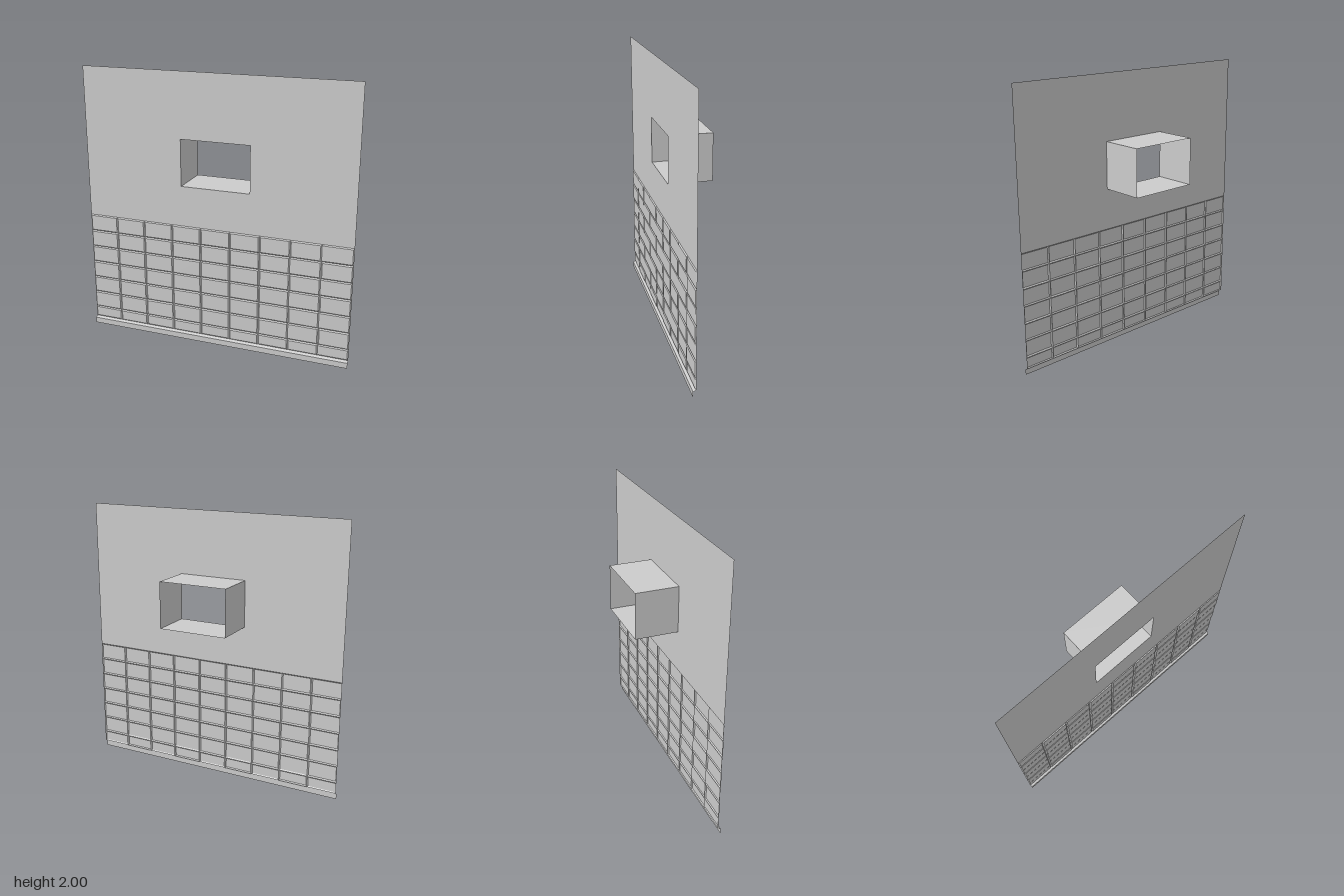
import * as THREE from 'three';

const W = 0.994;                // half width of the wall
const ZW = 0.146;               // wall plane
const ZBACK = -0.167;           // back end of the window tunnel
const WIN = { x: 0.255, y0: 1.19, y1: 1.53 };
const TILE_TOP = 0.894, TILE_BOTTOM = 0.053, ROW = 0.126, COLS = 9;

const material = new THREE.MeshStandardMaterial({
  color: 0xcccccc, flatShading: true, side: THREE.DoubleSide,
});

function addMesh(parent, name, geometry) {
  const mesh = new THREE.Mesh(geometry, material);
  mesh.name = name;
  parent.add(mesh);
  return mesh;
}

// Open strip joining equal loops of points; each quad runs a0, a1, b1, b0
function strip(loopA, loopB, closed) {
  const pos = [];
  const n = loopA.length;
  for (let i = 0; i < (closed ? n : n - 1); i++) {
    const j = (i + 1) % n;
    const [a, b, c, d] = [loopA[i], loopA[j], loopB[j], loopB[i]];
    pos.push(...a, ...b, ...c, ...a, ...c, ...d);
  }
  const g = new THREE.BufferGeometry();
  g.setAttribute('position', new THREE.Float32BufferAttribute(pos, 3));
  g.computeVertexNormals();
  return g;
}

const rect = (x0, y0, x1, y1, z) => [[x0, y0, z], [x1, y0, z], [x1, y1, z], [x0, y1, z]];

export function createModel() {
  const model = new THREE.Group();
  model.name = 'wallWithWindow';

  // Plain upper wall with the window opening
  const wall = new THREE.Shape(
    [[-W, TILE_TOP], [W, TILE_TOP], [W, 2], [-W, 2]].map(p => new THREE.Vector2(...p)));
  wall.holes.push(new THREE.Path(
    [[-WIN.x, WIN.y0], [-WIN.x, WIN.y1], [WIN.x, WIN.y1], [WIN.x, WIN.y0]]
      .map(p => new THREE.Vector2(...p))));
  addMesh(model, 'upperWall', new THREE.ShapeGeometry(wall).translate(0, 0, ZW));

  // Deep window reveal, open at both ends; normals face into the opening
  addMesh(model, 'windowReveal', strip(
    rect(-WIN.x, WIN.y0, WIN.x, WIN.y1, ZW),
    rect(-WIN.x, WIN.y0, WIN.x, WIN.y1, ZBACK), true).rotateY(0));

  // Shallow bevelled tiles, alternating slightly in depth
  const tiles = new THREE.Group();
  tiles.name = 'wallTiles';
  model.add(tiles);
  const cw = 2 * W / COLS, bevel = 0.008;
  for (let r = 0; r < 7; r++) {
    const y1 = TILE_TOP - r * ROW;
    const y0 = Math.max(y1 - ROW, TILE_BOTTOM);
    for (let c = 0; c < COLS; c++) {
      const x0 = -W + c * cw, x1 = x0 + cw;
      const z = (r + c) % 2 ? 0.154 : 0.152;
      addMesh(tiles, 'tileBevel', strip(
        rect(x0, y0, x1, y1, ZW),
        rect(x0 + bevel, y0 + bevel, x1 - bevel, y1 - bevel, z), true));
      const face = new THREE.PlaneGeometry(cw - 2 * bevel, y1 - y0 - 2 * bevel);
      addMesh(tiles, 'tileFace', face.translate((x0 + x1) / 2, (y0 + y1) / 2, z));
    }
  }

  // Skirting: upright face with a sloping ledge back to the wall
  const profile = [[0, 0.167], [0.042, 0.167], [TILE_BOTTOM, ZW]];
  addMesh(model, 'skirting', strip(
    profile.map(([y, z]) => [W, y, z]),
    profile.map(([y, z]) => [-W, y, z]), false));

  return model;
}
